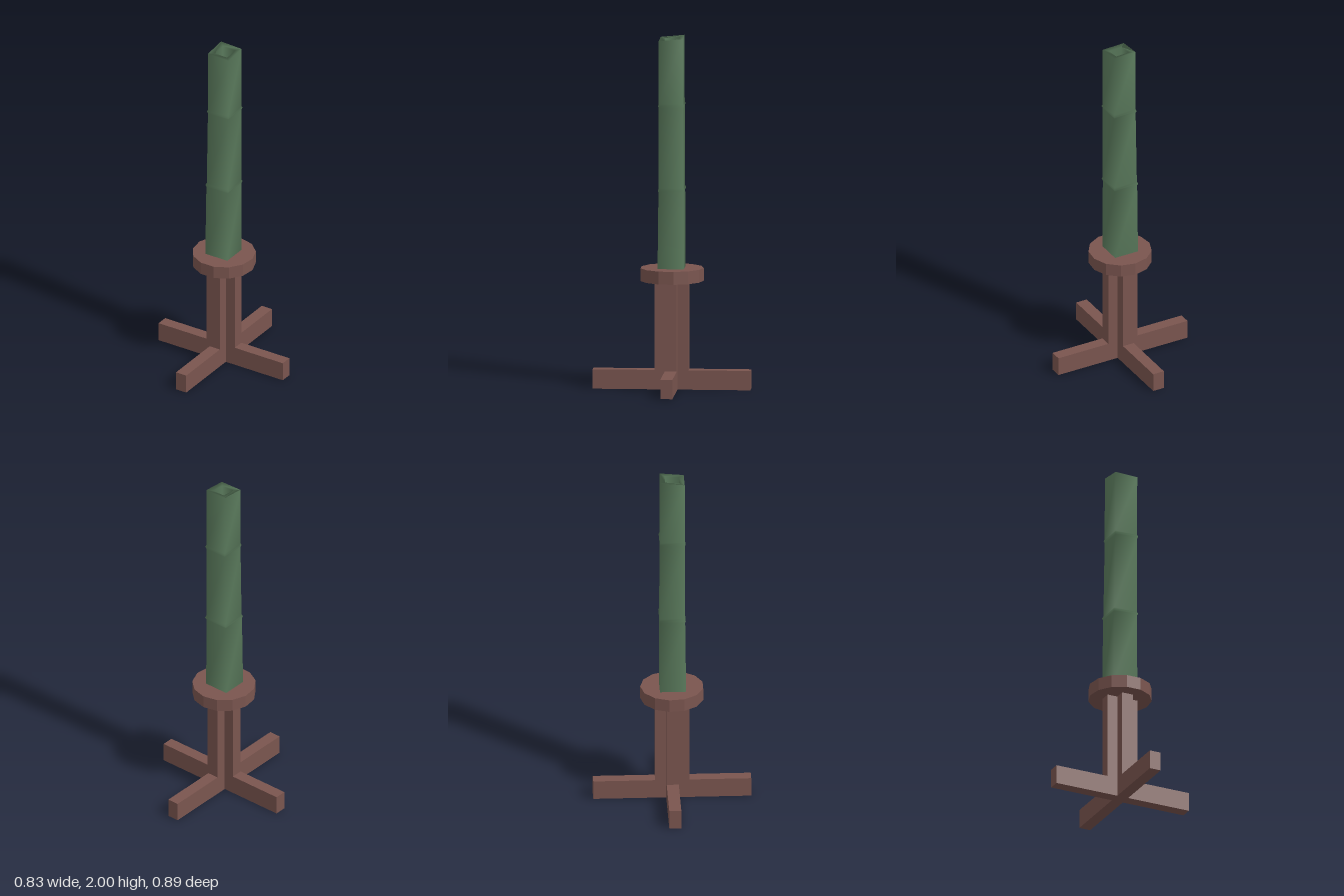
import * as THREE from 'three';

const wood = new THREE.MeshStandardMaterial({ color: 0x7a554f });
wood.name = 'brown wood';
const green = new THREE.MeshStandardMaterial({ color: 0x5a7a5c });
green.name = 'bamboo green';

// Smooth-shaded skin over square rings: [y, xMin, xMax, zMin, zMax, slope]
function squareTube(rings) {
  const pos = [], index = [];
  for (const [y, x0, x1, z0, z1, slope = 0] of rings) {
    for (const [x, z] of [[x0, z1], [x1, z1], [x1, z0], [x0, z0]]) {
      pos.push(x, y - slope * (z + x * 0.4), z);
    }
  }
  for (let r = 0; r < rings.length - 1; r++) {
    for (let i = 0; i < 4; i++) {
      const a = r * 4 + i, b = r * 4 + (i + 1) % 4;
      index.push(a, b, b + 4, a, b + 4, a + 4);
    }
  }
  const g = new THREE.BufferGeometry();
  g.setAttribute('position', new THREE.Float32BufferAttribute(pos, 3));
  g.setIndex(index);
  g.computeVertexNormals();
  return g;
}

export function createModel() {
  const model = new THREE.Group();
  model.name = 'bambooOnStand';
  const add = (name, geometry, material, y = 0) => {
    const mesh = new THREE.Mesh(geometry, material);
    mesh.name = name;
    mesh.position.y = y;
    model.add(mesh);
    return mesh;
  };

  // Crossed feet
  add('footSide', new THREE.BoxGeometry(0.83, 0.11, 0.068), wood, 0.055);
  add('footFrontBack', new THREE.BoxGeometry(0.068, 0.11, 0.888), wood, 0.055);

  // Cross-shaped post
  add('postSide', new THREE.BoxGeometry(0.188, 0.51, 0.068), wood, 0.36);
  add('postFrontBack', new THREE.BoxGeometry(0.068, 0.51, 0.192), wood, 0.36);

  // Thirteen-sided plate with a corner at the back
  const plate = new THREE.CylinderGeometry(0.179, 0.179, 0.073, 13).toNonIndexed();
  plate.computeVertexNormals();
  add('plate', plate, wood, 0.651).rotation.y = Math.PI;

  // Hollow stalk: outer wall with two joints, slanted rim, inner wall
  add('stalk', squareTube([
    [0.687, -0.076, 0.071, -0.071, 0.076],
    [1.122, -0.072, 0.071, -0.069, 0.071],
    [1.134, -0.076, 0.077, -0.074, 0.074],
    [1.146, -0.070, 0.072, -0.069, 0.070],
    [1.600, -0.063, 0.073, -0.067, 0.069],
    [1.612, -0.067, 0.078, -0.072, 0.073],
    [1.624, -0.063, 0.073, -0.067, 0.069],
    [1.991, -0.062, 0.074, -0.066, 0.069, 0.1],
    [1.986, -0.033, 0.047, -0.040, 0.040, 0.1],
    [0.690, -0.033, 0.042, -0.040, 0.040],
  ]), green);

  return model;
}
